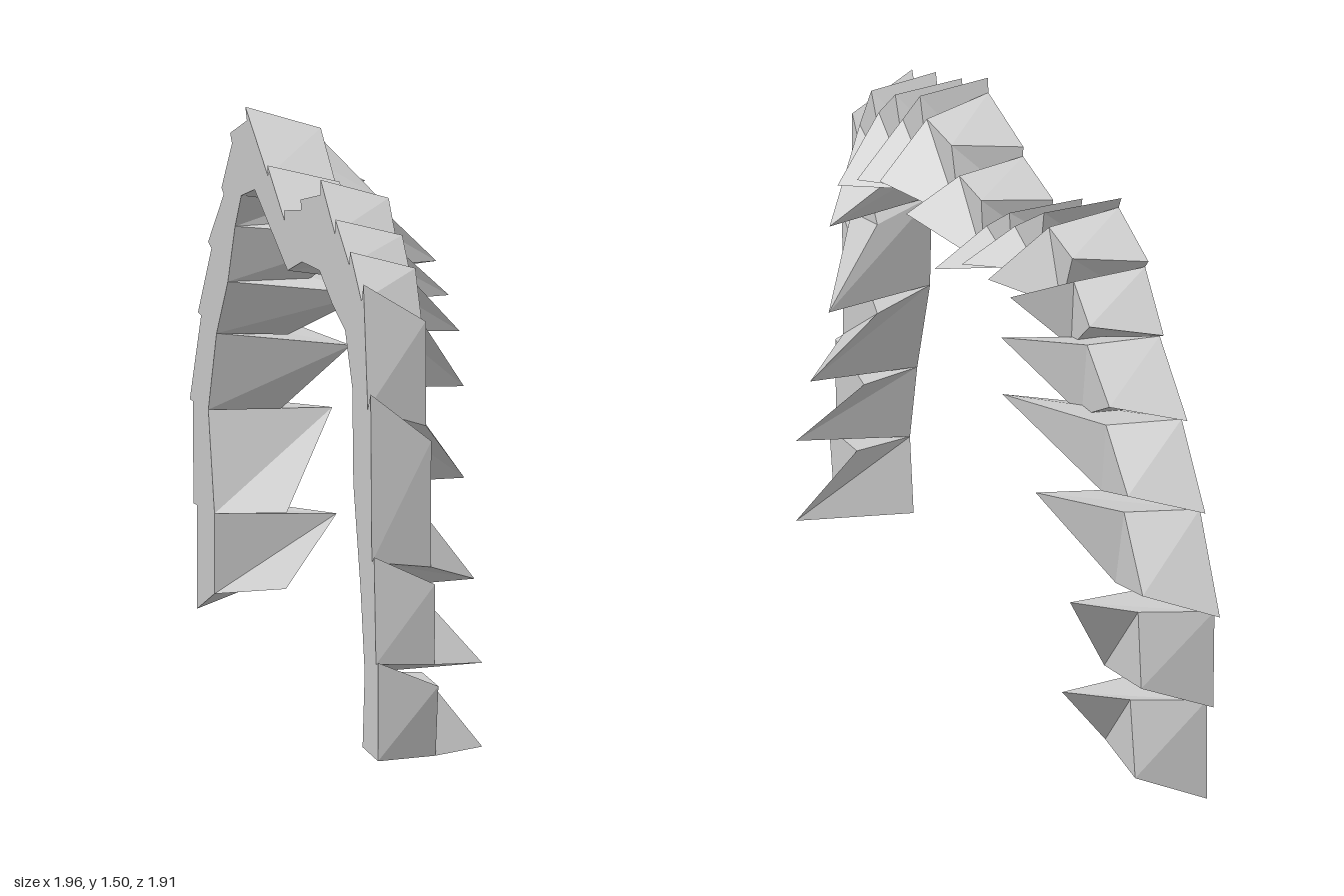
import * as THREE from 'three';

// Joints along the arch, from the -x foot over to the +x foot.
// Each holds outer, inner and spur points as (distance along the diagonal, height).
const JOINTS = [
  [[-0.83, 0.02], [-0.69, 0.09], [-0.66, 0.06]],
  [[-0.86, 0.29], [-0.69, 0.31], [-0.725, 0.29]],
  [[-0.90, 0.565], [-0.75, 0.58], [-0.77, 0.57]],
  [[-0.82, 0.82], [-0.67, 0.81], [-0.575, 0.79]],
  [[-0.72, 1.03], [-0.56, 0.98], [-0.385, 0.98]],
  [[-0.60, 1.21], [-0.49, 1.15], [-0.38, 1.14]],
  [[-0.52, 1.37], [-0.43, 1.25], [-0.43, 1.28]],
  [[-0.375, 1.47], [-0.30, 1.30], [-0.305, 1.27]],
  [[-0.17, 1.37], [-0.14, 1.23], [-0.155, 1.24]],
  [[-0.01, 1.29], [0.02, 1.16], [0, 1.15]],
  [[0.15, 1.36], [0.16, 1.22], [0.16, 1.23]],
  [[0.34, 1.45], [0.33, 1.24], [0.31, 1.25]],
  [[0.48, 1.38], [0.455, 1.18], [0.44, 1.19]],
  [[0.62, 1.33], [0.58, 1.14], [0.55, 1.12]],
  [[0.74, 1.26], [0.65, 1.0], [0.595, 0.98]],
  [[0.80, 0.98], [0.66, 0.74], [0.60, 0.73]],
  [[0.84, 0.57], [0.73, 0.47], [0.705, 0.48]],
  [[0.88, 0.30], [0.77, 0.25], [0.785, 0.27]],
  [[0.90, 0.04], [0.75, 0.04], [0.785, 0.04]],
];

const mix = (a, b, t) => [a[0] + (b[0] - a[0]) * t, a[1] + (b[1] - a[1]) * t];

// Diagonal plane to world: u runs along the arch, w across it
const place = ([u, y], w) => [u - w / 2, y, u + w / 2];
const flatSide = (u) => 0.12 - 0.025 * u;

// Blunt four-sided section where a stone begins
function startSection([outer, inner], nextOuter) {
  const o = mix(outer, inner, -0.2);
  const crest = mix(mix(o, inner, 0.1), nextOuter, 0.25);
  return [place(o, flatSide(o[0])), place(inner, flatSide(inner[0])),
    place(mix(inner, outer, -0.2), -0.13), place(crest, -0.14)];
}

// Section where a stone ends, its inner back corner drawn out to a spur
function endSection([outer, inner, spur]) {
  return [place(outer, flatSide(outer[0])), place(inner, flatSide(inner[0])),
    place(spur, -0.35), place(mix(outer, inner, 0.25), -0.14)];
}

// Closed faceted block between two four-sided sections
function blockGeometry(a, b) {
  const positions = [];
  const quad = (p, q, r, s) => positions.push(...p, ...q, ...r, ...p, ...r, ...s);
  for (let i = 0; i < 4; i++) {
    const j = (i + 1) % 4;
    quad(a[i], a[j], b[j], b[i]);
  }
  quad(a[3], a[2], a[1], a[0]);
  quad(b[0], b[1], b[2], b[3]);
  const geometry = new THREE.BufferGeometry();
  geometry.setAttribute('position', new THREE.Float32BufferAttribute(positions, 3));
  geometry.computeVertexNormals();
  return geometry;
}

export function createModel() {
  const arch = new THREE.Group();
  arch.name = 'stoneArch';
  const material = new THREE.MeshStandardMaterial({ color: 0xcccccc, flatShading: true });

  // One overlapping stone per pair of joints
  for (let i = 0; i + 1 < JOINTS.length; i++) {
    const start = startSection(JOINTS[i], JOINTS[i + 1][0]);
    const end = endSection(JOINTS[i + 1]);
    const stone = new THREE.Mesh(blockGeometry(start, end), material);
    stone.name = `archStone${i + 1}`;
    arch.add(stone);
  }
  return arch;
}
